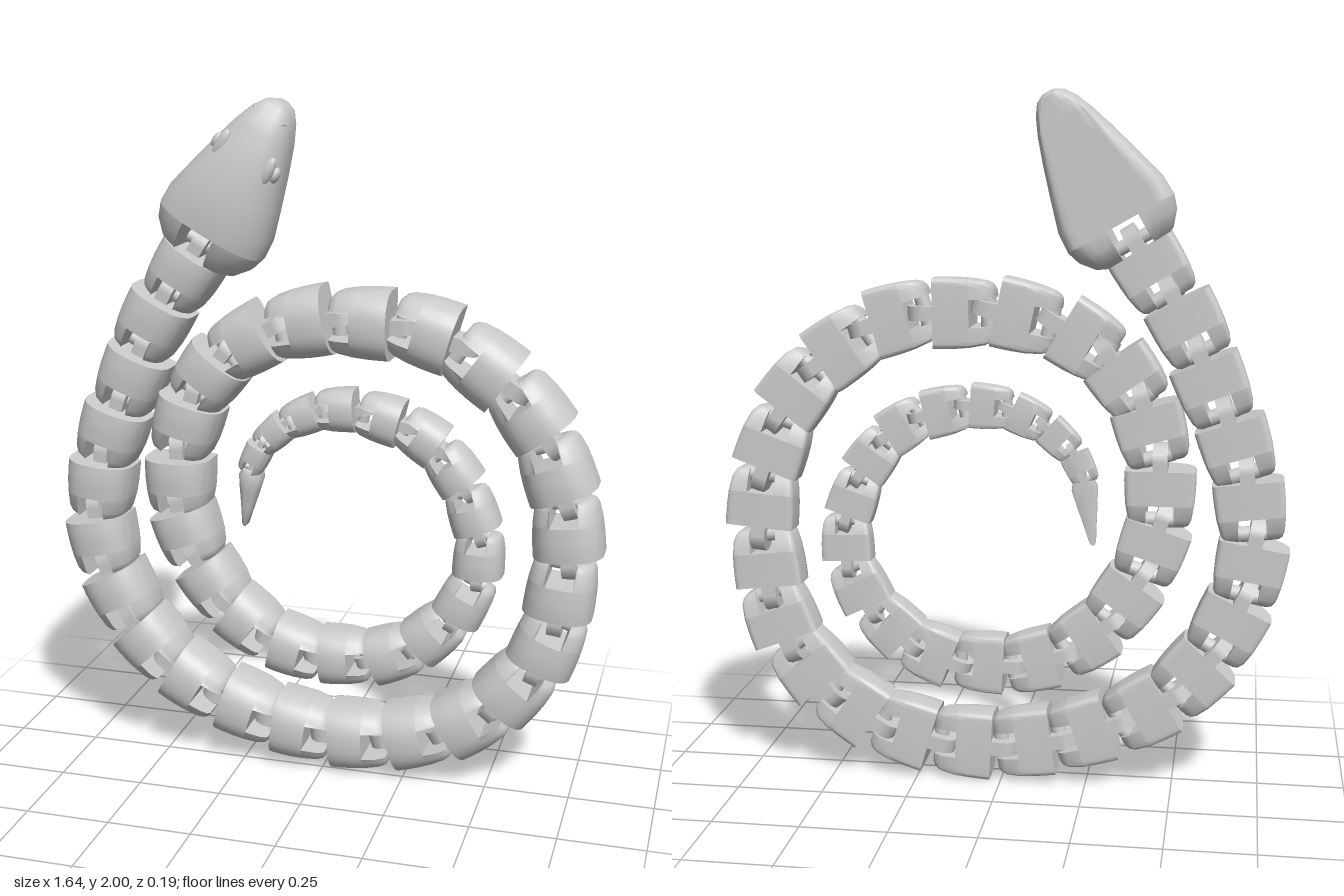
import * as THREE from 'three';
import { toCreasedNormals } from 'three/addons/utils/BufferGeometryUtils.js';

const BACK = -0.1; // flat back plane
const SIDES = 32;
const mat = new THREE.MeshStandardMaterial({ color: 0xcccccc, roughness: 0.8 });

// Link centres [x, y] from neck to tail
const LINKS = [
  [-.43, 1.5], [-.53, 1.35], [-.6, 1.18], [-.67, 1.01], [-.71, .84], [-.71, .66], [-.65, .49], [-.55, .34],
  [-.41, .23], [-.24, .16], [-.07, .12], [.11, .11], [.29, .14], [.45, .21], [.58, .33], [.67, .48],
  [.7, .65], [.71, .83], [.67, 1.0], [.59, 1.16], [.455, 1.285], [.29, 1.37], [.11, 1.385], [-.07, 1.375],
  [-.24, 1.31], [-.36, 1.2], [-.43, 1.05], [-.455, .87], [-.43, .71], [-.35, .555], [-.24, .44], [-.09, .37],
  [.06, .36], [.21, .385], [.33, .465], [.42, .58], [.455, .72], [.43, .85], [.37, .97], [.28, 1.06],
  [.16, 1.105], [.03, 1.12], [-.08, 1.09], [-.17, 1.03], [-.23, .95], [-.25, .865],
];
const NECK = [-.35, 1.64];
const TAIL_TIP = [-.265, .735];

function mesh(name, geo, x = 0, y = 0, z = 0) {
  const m = new THREE.Mesh(geo, mat);
  m.name = name;
  m.position.set(x, y, z);
  return m;
}

// Domed cross-section; side = +1 / -1 keeps only what lies beyond the notch
function section({ y, w, top, bottom = BACK, mid, square = 0.15, shift = 0 }, side = 0, notch = 0) {
  const pts = [];
  for (let j = 0; j < SIDES; j++) {
    const t = (j / SIDES) * Math.PI * 2;
    const c = Math.cos(t), s = Math.sin(t);
    const px = s >= 0 ? 0.8 : square;
    let x = shift + w * Math.sign(c) * Math.abs(c) ** px;
    let z = s >= 0 ? mid + (top - mid) * s ** 0.9 : mid - (mid - bottom) * Math.abs(s) ** square;
    if (side > 0) x = Math.max(x, notch);
    if (side < 0) x = Math.min(x, -notch);
    pts.push([x, y, Math.max(z, BACK)]);
  }
  return pts;
}

// Closed skin through sections ordered along +y
function loft(rows, crease = 0.7) {
  const n = SIDES, pos = rows.flat(2), idx = [];
  for (let i = 0; i < rows.length - 1; i++) {
    for (let j = 0; j < n; j++) {
      const k = (j + 1) % n, a = i * n, b = a + n;
      idx.push(a + j, b + j, a + k, b + j, b + k, a + k);
    }
  }
  [0, rows.length - 1].forEach((r, end) => {
    const centre = pos.length / 3;
    for (let c = 0; c < 3; c++) pos.push(rows[r].reduce((sum, p) => sum + p[c], 0) / n);
    for (let j = 0; j < n; j++) {
      const a = r * n + j, b = r * n + (j + 1) % n;
      idx.push(centre, end ? b : a, end ? a : b);
    }
  });
  const g = new THREE.BufferGeometry();
  g.setAttribute('position', new THREE.Float32BufferAttribute(pos, 3));
  g.setIndex(idx);
  return toCreasedNormals(g, crease);
}

function pin(radius, length) {
  return new THREE.CylinderGeometry(radius, radius, length, 14).rotateZ(Math.PI / 2);
}

function place(group, [x, y], dx, dy) {
  group.position.set(x, y, 0);
  group.rotation.z = Math.atan2(-dx, dy);
}

// Tongue that hooks the pin of the link ahead
function addTongue(g, L, w, k) {
  const h = 0.1 * k;
  g.add(mesh('tongue', new THREE.BoxGeometry(w * 0.42, L * 0.24, h), 0, L * 0.5, BACK + h / 2));
  g.add(mesh('tongueEye', pin(h / 2, w * 0.42), 0, L * 0.62, BACK + h / 2));
}

function createLink(L, w) {
  const g = new THREE.Group();
  g.name = 'bodyLink';
  const k = w / 0.1, notch = w * 0.4;
  const row = (y, fw, ft, lift) => ({
    y: y * L, w: w * fw, top: BACK + 0.16 * k * ft, bottom: BACK + lift * k, mid: BACK + 0.07 * k,
  });
  const front = [row(-.12, .97, .98, 0), row(.1, 1, 1, 0), row(.3, 1.01, 1, 0), row(.46, 1.01, .98, 0)];
  const rear = [row(-.5, .72, .8, .03), row(-.46, .82, .87, .02), row(-.36, .9, .93, .008), row(-.12, .97, .98, 0)];
  g.add(mesh('shell', loft(front.map(r => section(r)))));
  for (const side of [1, -1]) g.add(mesh('rearProng', loft(rear.map(r => section(r, side, notch)))));
  g.add(mesh('hingePin', pin(0.022 * k, notch * 2.2), 0, -L * 0.4, BACK + 0.05 * k));
  addTongue(g, L, w, k);
  return g;
}

function createHead() {
  const g = new THREE.Group();
  g.name = 'head';
  // [along, half width, top, bottom]
  const row = ([y, w, top, bottom]) => ({ y, w, top, bottom, mid: -0.015, square: 0.6, shift: 0.01 });
  const rear = [[-.035, .09, .035, -.05], [-.02, .122, .055, -.08], [.02, .155, .08, -.11], [.06, .168, .09, -.125]].map(row);
  const skull = [
    [.06, .168, .09, -.125], [.12, .165, .095, -.13], [.2, .142, .09, -.13], [.3, .112, .076, -.125],
    [.38, .085, .056, -.12], [.43, .063, .04, -.11], [.46, .042, .02, -.1], [.472, .02, .0, -.08],
  ].map(row);
  g.add(mesh('skull', loft(skull.map(r => section(r)), 0.9)));
  for (const side of [1, -1]) {
    g.add(mesh('jawLobe', loft(rear.map(r => section(r, side, 0.05)), 0.9)));
    // Eye under a low brow, then a nostril
    const eye = mesh('eye', new THREE.SphereGeometry(0.022, 16, 12), 0.01 + side * 0.094, 0.3, 0.03);
    eye.scale.set(0.7, 1.15, 0.9);
    const brow = mesh('brow', new THREE.SphereGeometry(0.03, 16, 12), 0.01 + side * 0.075, 0.3, 0.05);
    brow.scale.set(0.6, 1.6, 0.5);
    const nostril = mesh('nostril', new THREE.TorusGeometry(0.009, 0.004, 8, 14), 0.01 + side * 0.047, 0.425, 0.02);
    nostril.rotation.y = side * 0.9;
    g.add(eye, brow, nostril);
  }
  g.add(mesh('hingePin', pin(0.02, 0.12), 0, 0, BACK + 0.05));
  return g;
}

function createTail(L, w) {
  const g = new THREE.Group();
  g.name = 'tail';
  const rows = [[-.5, .1], [-.46, .25], [-.2, .5], [.1, .8], [.32, 1], [.42, .85]].map(([y, f]) => section({
    y: y * L, w: w * f, top: BACK + 0.06 * (0.3 + 0.7 * f), mid: BACK + 0.025 * f,
  }));
  g.add(mesh('tailPoint', loft(rows)));
  g.add(mesh('tongue', new THREE.BoxGeometry(w * 0.5, L * 0.25, 0.035), 0, L * 0.5, BACK + 0.0175));
  return g;
}

export function createModel() {
  const model = new THREE.Group();
  model.name = 'articulatedSnake';

  const head = createHead();
  place(head, [-.37, 1.59], .494, .87);
  model.add(head);

  const last = LINKS.length - 1;
  LINKS.forEach((p, i) => {
    const a = i ? LINKS[i - 1] : NECK;
    const b = i < last ? LINKS[i + 1] : TAIL_TIP;
    const dx = a[0] - b[0], dy = a[1] - b[1];
    if (i === last) {
      const tail = createTail(0.2, 0.037);
      place(tail, [-.253, .83], dx, dy);
      model.add(tail);
      return;
    }
    // Full width over the outer coil, then tapering to the tail
    const w = i < 27 ? 0.1 : i < 37 ? 0.1 - (i - 27) * 0.003 : i < 41 ? 0.07 : 0.07 - (i - 40) * 0.007;
    const link = createLink(Math.hypot(dx, dy) / 2, w);
    place(link, p, dx, dy);
    model.add(link);
  });
  return model;
}
